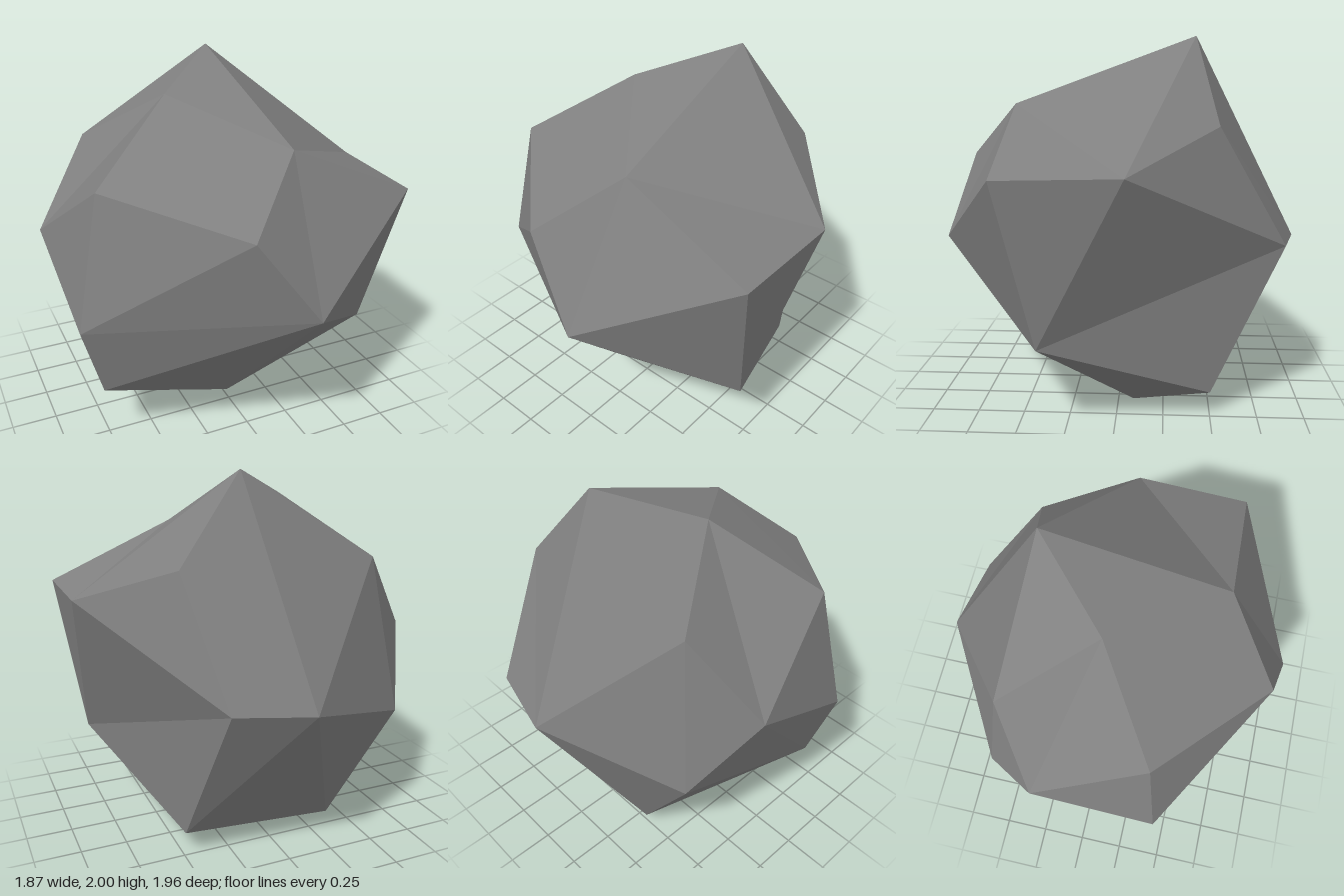
import * as THREE from 'three';
import { ConvexGeometry } from 'three/addons/geometries/ConvexGeometry.js';

// Corner points of the boulder, from the bottom up: x, y, z
const corners = [
  // underside
  [0.303, 0.00, -0.085], [-0.345, 0.09, -0.525], [0.49, 0.13, -0.50], [-0.09, 0.195, 0.41],
  // lower sides
  [-0.79, 0.36, 0.355], [0.795, 0.463, 0.38], [-0.73, 0.67, -0.59], [-0.91, 0.78, 0.42],
  // middle
  [-0.015, 0.89, -0.98], [0.153, 0.895, 0.98], [0.39, 0.915, -0.885], [-0.935, 1.08, -0.26],
  // upper sides
  [0.918, 1.325, 0.565], [-0.17, 1.335, 0.883], [0.932, 1.34, -0.065], [-0.765, 1.49, 0.343],
  // crown
  [-0.60, 1.53, -0.482], [0.505, 1.545, -0.52], [0.19, 1.643, 0.565], [-0.27, 1.84, -0.003],
  [0.14, 2.00, -0.407],
].map((p) => new THREE.Vector3(...p));

// Shallow hollows: the ridge between corners a and b becomes a valley from c to d
const hollows = [
  [14, 2, 5, 10],   // right side
  [20, 12, 18, 14], // upper right
  [20, 10, 17, 8],  // upper back
  [13, 12, 18, 9],  // upper front
  [16, 15, 19, 11], // upper left
];

// Triangles of the convex skin, as corner numbers
function skinFaces() {
  const position = new ConvexGeometry(corners).attributes.position;
  const point = new THREE.Vector3();
  const faces = [];
  for (let i = 0; i < position.count; i++) {
    point.fromBufferAttribute(position, i);
    if (i % 3 === 0) faces.push([]);
    faces.at(-1).push(corners.findIndex((c) => c.distanceTo(point) < 0.001));
  }
  return faces;
}

// Turn the shared edge of two triangles across their quad
function turnEdge(faces, [a, b, c, d]) {
  const find = (third) => faces.find((f) => [a, b, third].every((n) => f.includes(n)));
  const first = find(c);
  const second = find(d);
  if (!first || !second) return;
  first[first.indexOf(b)] = d;
  second[second.indexOf(a)] = c;
}

export function createModel() {
  const stone = new THREE.MeshStandardMaterial({ color: 0x808080 });
  stone.name = 'stone grey';
  stone.flatShading = true;

  // Faceted boulder: convex skin with a few hollows pressed in
  const faces = skinFaces();
  hollows.forEach((hollow) => turnEdge(faces, hollow));
  const geometry = new THREE.BufferGeometry().setFromPoints(faces.flat().map((n) => corners[n]));
  geometry.computeVertexNormals();
  const boulder = new THREE.Mesh(geometry, stone);
  boulder.name = 'boulder';

  const model = new THREE.Group();
  model.name = 'rock';
  model.add(boulder);
  return model;
}
